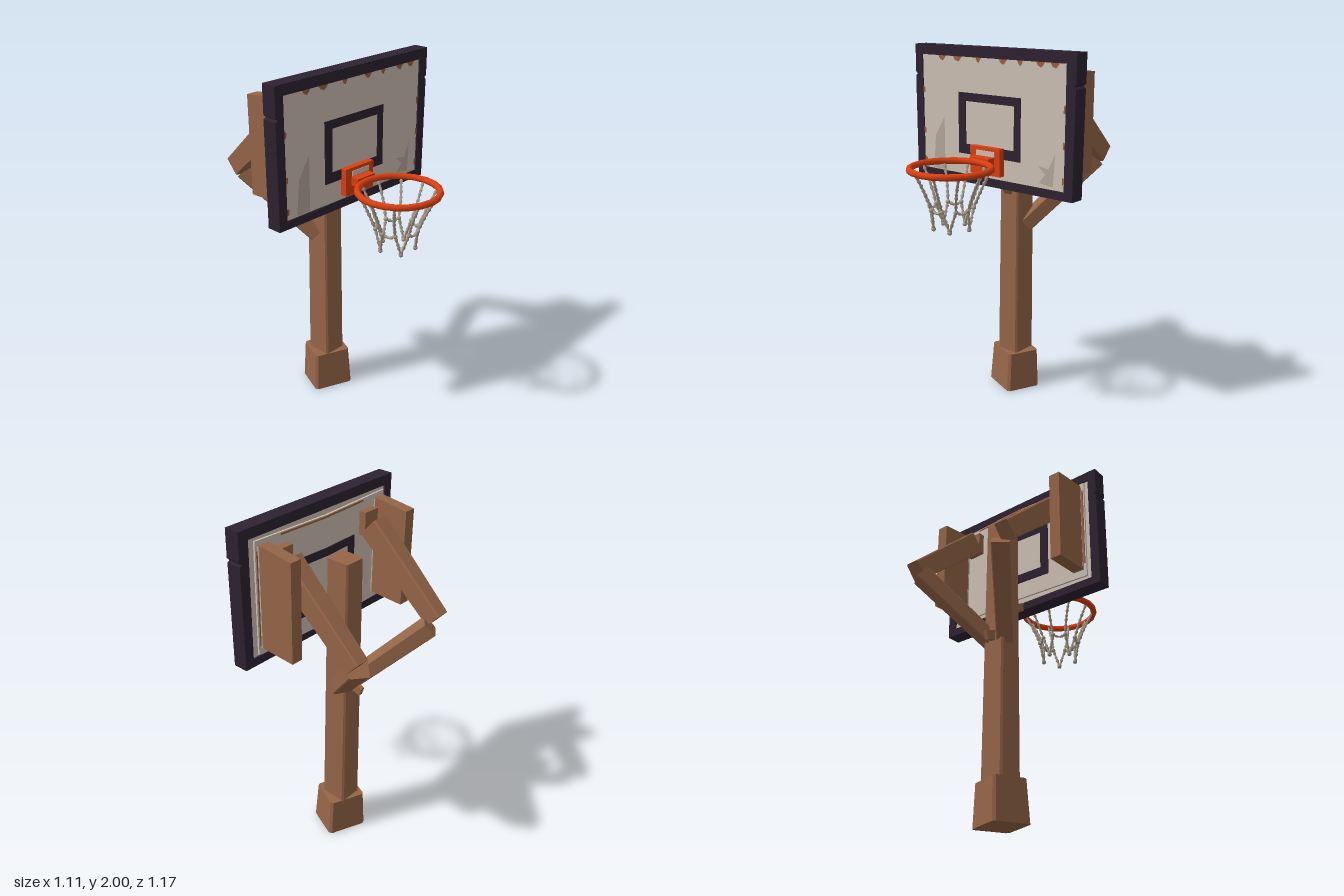
import * as THREE from 'three';

const mat = (name, color, double) => {
  const m = new THREE.MeshStandardMaterial({ color });
  m.name = name;
  if (double) m.side = THREE.DoubleSide;
  return m;
};

export function createModel() {
  const model = new THREE.Group();
  model.name = 'basketballHoop';
  const wood = mat('brown', 0x966648);
  const dark = mat('darkPurple', 0x2d2231);
  const white = mat('paleBoard', 0xcfc1b4);
  const worn = mat('wornBoard', 0xb5a89c, true);
  const rust = mat('rustChips', 0x9c5f3a, true);
  const orange = mat('orange', 0xdc3f10);
  const rope = mat('rope', 0xada08d);

  const add = (name, geo, material, parent = model) => {
    const mesh = new THREE.Mesh(geo, material);
    mesh.name = name;
    parent.add(mesh);
    return mesh;
  };
  const polygon = pts => new THREE.Shape(pts.map(p => new THREE.Vector2(...p)));

  // box given by its limits
  const block = (name, x0, x1, y0, y1, z0, z1, material, parent) => {
    const geo = new THREE.BoxGeometry(x1 - x0, y1 - y0, z1 - z0, 2, 1, 1);
    geo.translate((x0 + x1) / 2, (y0 + y1) / 2, (z0 + z1) / 2);
    return add(name, geo, material, parent);
  };

  // chamfered, tapered beam between two points
  const beam = (name, from, to, w, d, taper, material = wood, parent = model) => {
    const a = new THREE.Vector3(...from), b = new THREE.Vector3(...to);
    const len = a.distanceTo(b), x = w / 2, y = d / 2, c = Math.min(w, d) * 0.07;
    const section = polygon([[x - c, -y], [x, -y + c], [x, y - c], [x - c, y],
      [-x + c, y], [-x, y - c], [-x, -y + c], [-x + c, -y]]);
    const geo = new THREE.ExtrudeGeometry(section, { depth: len, bevelEnabled: false });
    const p = geo.attributes.position;
    for (let i = 0; i < p.count; i++) {
      const s = 1 + (taper - 1) * p.getZ(i) / len;
      p.setXY(i, p.getX(i) * s, p.getY(i) * s);
    }
    geo.computeVertexNormals();
    const mesh = add(name, geo, material, parent);
    mesh.position.copy(a);
    mesh.lookAt(b);
    return mesh;
  };

  // post and base
  beam('base', [-0.012, 0, -0.18], [-0.01, 0.23, -0.185], 0.235, 0.212, 0.9);
  beam('post', [-0.01, 0.2, -0.187], [-0.006, 1.74, -0.187], 0.157, 0.14, 0.88);
  beam('rearPeg', [-0.01, 1.03, -0.22], [-0.01, 0.995, -0.32], 0.028, 0.06, 0.85);

  // curved bracket between board and post
  beam('boardBracketUpper', [-0.01, 1.285, -0.02], [-0.01, 1.25, -0.09], 0.05, 0.045, 1);
  beam('boardBracketLower', [-0.01, 1.265, -0.085], [-0.01, 1.2, -0.125], 0.05, 0.045, 1);

  // folding arms and side plates on both sides
  for (const side of [-1, 1]) {
    const arms = new THREE.Group();
    arms.name = side > 0 ? 'leftArms' : 'rightArms';
    model.add(arms);
    const x = side * 0.318 - 0.005;
    beam('upperArm', [x, 1.795, -0.105], [x, 1.4, -0.548], 0.104, 0.135, 0.8, wood, arms);
    beam('lowerArm', [side * 0.285, 1.37, -0.535], [side * 0.04 - 0.007, 1.0, -0.205], 0.1, 0.09, 0.9, wood, arms);

    const plate = new THREE.ExtrudeGeometry(
      polygon([[0.05, 1.36], [0.257, 1.35], [0.257, 1.885], [0.05, 1.91]]),
      { depth: 0.066, bevelEnabled: false });
    plate.rotateY(Math.PI / 2);
    plate.translate(side * 0.421 - 0.04, 0, 0);
    add('sidePlate', plate, wood, arms);
    const px = side * 0.421 - 0.007;
    block('sidePlateMount', px - 0.034, px + 0.034, 1.36, 1.9, -0.052, -0.035, worn, arms);
    block('armMount', x - 0.05, x + 0.05, 1.74, 1.87, -0.09, -0.035, wood, arms);
  }

  // board frame, notched where the top rail meets the sides
  const board = new THREE.Group();
  board.name = 'backboard';
  model.add(board);
  const frame = polygon([[-0.553, 1.26], [0.545, 1.26], [0.55, 1.825], [0.537, 1.835], [0.552, 1.85],
    [0.552, 2], [-0.552, 2], [-0.552, 1.845], [-0.537, 1.835], [-0.553, 1.825]]);
  frame.holes.push(polygon([[-0.5, 1.305], [-0.5, 1.945], [0.492, 1.945], [0.492, 1.305]]));
  const frameGeo = new THREE.ExtrudeGeometry(frame, { depth: 0.085, bevelEnabled: false });
  frameGeo.translate(0, 0, -0.03);
  add('frame', frameGeo, dark, board);
  block('frontPanel', -0.502, 0.494, 1.3, 1.95, -0.02, 0.048, white, board);

  // back sheet, bowed slightly outward, and its painted target
  const bow = mesh => {
    const p = mesh.geometry.attributes.position;
    for (let i = 0; i < p.count; i++) {
      p.setZ(i, p.getZ(i) - 0.022 * Math.max(0, 1 - Math.abs(p.getX(i) + 0.008) / 0.47));
    }
    mesh.geometry.computeVertexNormals();
  };
  bow(block('backPanel', -0.478, 0.462, 1.32, 1.93, -0.04, -0.03, white, board));
  const target = (name, z0, z1, bowed) => {
    const bars = [[-0.23, 0.205, 1.71, 1.755], [-0.23, 0.205, 1.42, 1.475],
      [-0.23, -0.178, 1.475, 1.71], [0.162, 0.205, 1.475, 1.71]];
    for (const b of bars) {
      const bar = block(name, ...b, z0, z1, dark, board);
      if (bowed) bow(bar);
    }
  };
  target('frontTarget', 0.046, 0.052);
  target('backTarget', -0.044, -0.038, true);

  // worn patches and rust chips
  const patch = (name, pts, z, material) => {
    const geo = new THREE.ShapeGeometry(polygon(pts));
    geo.translate(0, 0, z);
    add(name, geo, material, board);
  };
  patch('wornFlap', [[-0.43, 1.31], [-0.34, 1.31], [-0.34, 1.61], [-0.41, 1.5]], 0.05, worn);
  patch('wornCrack', [[0.33, 1.33], [0.42, 1.32], [0.43, 1.49], [0.39, 1.41], [0.32, 1.42], [0.37, 1.38]], 0.05, worn);
  for (const [x, w] of [[-0.35, 0.03], [-0.235, 0.035], [-0.085, 0.02], [0.085, 0.03], [0.2, 0.02], [0.33, 0.03], [0.42, 0.03]]) {
    const chip = [[x - w, 1.947], [x - w * 0.5, 1.925], [x + w * 0.2, 1.917], [x + w * 0.6, 1.93], [x + w, 1.947]];
    patch('topChip', chip, 0.051, rust);
  }
  for (const [x, y] of [[-0.494, 1.75], [-0.494, 1.52], [-0.49, 1.35], [0.486, 1.72], [0.486, 1.54], [0.486, 1.36]]) {
    patch('sideChip', [[x - 0.008, y - 0.02], [x + 0.008, y - 0.015], [x + 0.01, y + 0.012], [x - 0.008, y + 0.02]], 0.051, rust);
  }
  for (const [x0, x1, y0, y1] of [[-0.472, -0.455, 1.4, 1.88], [0.435, 0.455, 1.37, 1.88], [-0.3, 0.3, 1.915, 1.925]]) {
    bow(block('backRust', x0, x1, y0, y1, -0.043, -0.039, rust, board));
  }

  // rim and its mounting
  const hoop = new THREE.Group();
  hoop.name = 'hoop';
  model.add(hoop);
  block('rimPlate', -0.115, 0.094, 1.33, 1.48, 0.05, 0.086, orange, hoop);
  block('rimPlatePatch', -0.07, 0.058, 1.433, 1.462, 0.082, 0.089, white, hoop);
  block('rimNeck', -0.075, 0.055, 1.385, 1.43, 0.08, 0.135, orange, hoop);
  const rim = add('rim', new THREE.TorusGeometry(0.212, 0.018, 8, 20), orange, hoop);
  rim.rotation.x = Math.PI / 2;
  rim.position.set(-0.007, 1.408, 0.355);

  // knotted net cords
  const net = new THREE.Group();
  net.name = 'net';
  net.position.set(-0.007, 0, 0.35);
  hoop.add(net);
  const at = (deg, r, y) => {
    const a = deg * Math.PI / 180;
    return new THREE.Vector3(r * Math.cos(a), y, r * Math.sin(a));
  };
  const cord = (name, pts) => {
    const curve = new THREE.CatmullRomCurve3(pts);
    const n = Math.max(4, Math.round(curve.getLength() / 0.011));
    const geo = new THREE.TubeGeometry(curve, n, 0.0075, 6, false);
    const p = geo.attributes.position, nor = geo.attributes.normal;
    for (let i = 0; i < p.count; i++) {
      const ring = Math.floor(i / 7), k = [0.002, -0.002, 0.003, -0.001, -0.002][ring % 5];
      p.setXYZ(i, p.getX(i) + nor.getX(i) * k, p.getY(i) + nor.getY(i) * k, p.getZ(i) + nor.getZ(i) * k);
    }
    geo.computeVertexNormals();
    add(name, geo, rope, net);
  };
  const knot = v => add('knot', new THREE.IcosahedronGeometry(0.013, 1), rope, net).position.copy(v);
  for (let i = 0; i < 10; i++) {
    const deg = i * 36, end = at(deg, 0.115, 1.205);
    cord('netStrand', [at(deg, 0.205, 1.405), at(deg + 1.5, 0.155, 1.3), end]);
    knot(end);
    const next = at(deg + 36, 0.115, 1.205);
    if (i % 2) {
      const low = at(deg + 18, 0.098, 1.092);
      cord('netLoop', [end, at(deg + 10, 0.104, 1.14), low]);
      cord('netLoop', [next, at(deg + 26, 0.104, 1.14), low]);
      knot(low);
    } else {
      cord('netLink', [end, at(deg + 18, 0.11, 1.19), next]);
    }
  }
  return model;
}
